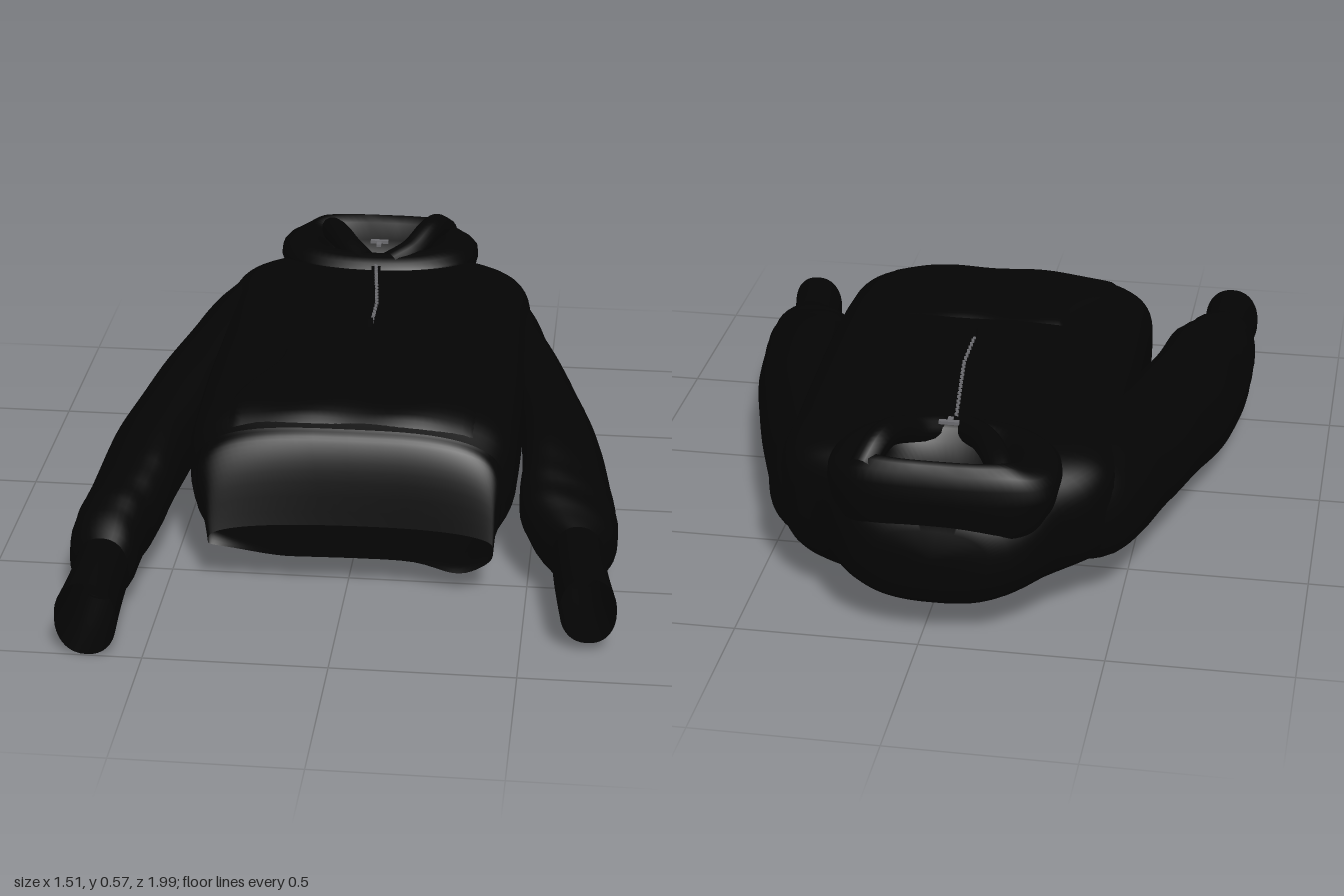
import * as THREE from 'three';

const { smoothstep } = THREE.MathUtils;
const fabric = new THREE.MeshStandardMaterial({ color: 0x040404, side: THREE.DoubleSide });
fabric.name = 'black fabric';
const metal = new THREE.MeshStandardMaterial({ color: 0x6c6c70 });
metal.name = 'zip metal';

// Surface through rows of points; closed joins the last column to the first
function skin(rows, closed = true) {
  const n = rows[0].length, idx = [];
  for (let i = 0; i < rows.length - 1; i++) {
    for (let j = 0; j < (closed ? n : n - 1); j++) {
      const a = i * n + j, b = i * n + (j + 1) % n;
      idx.push(a, b, a + n, b, b + n, a + n);
    }
  }
  const g = new THREE.BufferGeometry();
  g.setAttribute('position', new THREE.Float32BufferAttribute(rows.flat(2), 3));
  g.setIndex(idx);
  g.computeVertexNormals();
  return g;
}

// Smooth interpolation of rows [z, xMin, xMax, yBottom, yTop]
function profile(rows) {
  const f = new THREE.CubicInterpolant(rows.map(r => r[0]), rows.flatMap(r => r.slice(1)), 4);
  return z => {
    const [x0, x1, y0, y1] = f.evaluate(z);
    return { cx: (x0 + x1) / 2, rx: (x1 - x0) / 2, cy: (y0 + y1) / 2, ry: (y1 - y0) / 2 };
  };
}

const spow = (v, p) => Math.sign(v) * Math.abs(v) ** p;

// Tube of rounded cross-sections along z; power(z) sets how square they are
function loft(rows, steps, n, power, edit, cap = false) {
  const at = profile(rows), z0 = rows[0][0], z1 = rows[rows.length - 1][0], rings = [];
  for (let i = 0; i <= steps; i++) {
    const z = z0 + (z1 - z0) * i / steps, s = at(z), p = power(z);
    rings.push(Array.from({ length: n }, (_, j) => {
      const t = j / n * Math.PI * 2;
      return edit([s.cx + s.rx * spow(Math.cos(t), p), s.cy + s.ry * spow(Math.sin(t), p), z], s, t);
    }));
  }
  if (cap) {
    const s = at(z0);
    rings.unshift(rings[0].map(() => [s.cx, s.cy, z0]));
  }
  return skin(rings);
}

const BODY = [
  [-1.00, -0.19, 0.12, 0.17, 0.34], [-0.975, -0.25, 0.18, 0.12, 0.39], [-0.93, -0.31, 0.23, 0.095, 0.425],
  [-0.83, -0.385, 0.30, 0.085, 0.455], [-0.77, -0.445, 0.39, 0.085, 0.465], [-0.70, -0.485, 0.43, 0.085, 0.472],
  [-0.50, -0.485, 0.44, 0.085, 0.484], [-0.20, -0.47, 0.45, 0.085, 0.49],
  [0.00, -0.47, 0.455, 0.09, 0.49], [0.25, -0.465, 0.455, 0.085, 0.49],
  [0.40, -0.46, 0.45, 0.085, 0.485], [0.48, -0.44, 0.43, 0.09, 0.455],
];
const HEM = [
  [0.47, -0.43, 0.42, 0.092, 0.455], [0.51, -0.425, 0.42, 0.095, 0.42],
  [0.54, -0.40, 0.41, 0.095, 0.34], [0.565, -0.385, 0.405, 0.095, 0.195],
];
const SLEEVES = {
  right: {
    arm: [
      [-0.80, -0.40, -0.27, 0.18, 0.40], [-0.70, -0.51, -0.30, 0.15, 0.43], [-0.62, -0.555, -0.32, 0.15, 0.43],
      [-0.40, -0.615, -0.36, 0.15, 0.42], [-0.10, -0.685, -0.43, 0.115, 0.39],
      [0.20, -0.737, -0.48, 0.06, 0.36], [0.50, -0.755, -0.515, 0.05, 0.31],
      [0.66, -0.755, -0.55, 0.045, 0.28], [0.74, -0.74, -0.56, 0.04, 0.25],
      [0.77, -0.72, -0.575, 0.045, 0.235],
    ],
    cuff: [[0.75, -0.72, -0.575, 0.04, 0.235], [0.88, -0.725, -0.575, 0.015, 0.225], [0.99, -0.737, -0.57, 0, 0.215]],
  },
  left: {
    arm: [
      [-0.80, 0.17, 0.32, 0.17, 0.40], [-0.70, 0.22, 0.44, 0.145, 0.42],
      [-0.50, 0.28, 0.52, 0.14, 0.40], [-0.25, 0.36, 0.60, 0.135, 0.38],
      [0.00, 0.44, 0.67, 0.11, 0.36], [0.25, 0.465, 0.72, 0.09, 0.335],
      [0.45, 0.475, 0.742, 0.07, 0.295], [0.54, 0.52, 0.74, 0.06, 0.27],
      [0.60, 0.57, 0.71, 0.06, 0.25],
    ],
    cuff: [[0.58, 0.565, 0.71, 0.055, 0.25], [0.71, 0.58, 0.725, 0.04, 0.24], [0.845, 0.60, 0.752, 0.03, 0.225]],
  },
};

// Torso is square in the middle and rounder at the shoulders and hem
const bodyPower = z => 0.5 + 0.3 * smoothstep(-z, 0.7, 0.97) + 0.12 * smoothstep(z, 0.2, 0.48);
const bodyAt = profile(BODY);
function bodyTop(x, z) {
  const s = bodyAt(z), p = bodyPower(z), u = Math.min(1, Math.abs((x - s.cx) / s.rx));
  return s.cy + s.ry * (1 - u ** (2 / p)) ** (p / 2);
}

// Underside sags on the left and lifts on the right
function drape(p, s) {
  const low = Math.max(0, (s.cy - p[1]) / s.ry);
  p[1] += low * (0.03 * smoothstep(-p[0], 0.15, 0.4) - 0.042 * smoothstep(p[2], -0.9, -0.3) * Math.exp(-(((p[0] - 0.32) / 0.09) ** 2)));
  return p;
}

// Hood outline: wide flat back, tapering to a soft point at the front
function hoodPoint(t, scale) {
  const s = Math.sin(t), c = Math.cos(t);
  return [-0.05 + 0.31 * scale * spow(c, s > 0 ? 0.65 : 0.9), -0.85 - scale * (s > 0 ? 0.15 * spow(s, 0.65) : 0.24 * spow(s, 0.9))];
}

export function createModel() {
  const model = new THREE.Group();
  const add = (name, geometry, material = fabric, parent = model) => {
    const m = new THREE.Mesh(geometry, material);
    m.name = name;
    parent.add(m);
    return m;
  };

  // Torso, sunk beneath the hood to leave the neck hollow
  add('torso', loft(BODY, 70, 72, bodyPower, (p, s) => {
    const dz = (p[2] + 0.85) / (p[2] < -0.85 ? 0.15 : 0.24);
    if (p[1] > s.cy && Math.hypot((p[0] + 0.05) / 0.31, dz) < 0.74) p[1] = Math.min(p[1], 0.32);
    return drape(p, s);
  }, true));

  // Waistband, longer at the corners than in the middle
  add('waistband', loft(HEM, 14, 72, () => 0.6, (p, s) => {
    const k = (p[2] - 0.47) / 0.095, u = (p[0] - s.cx) / s.rx;
    p[2] += k * (0.025 * u * u - 0.012 - 0.01 * u);
    return drape(p, s);
  }));

  // Sleeves droop outward, with soft folds that gather near the cuff
  for (const [side, { arm, cuff }] of Object.entries(SLEEVES)) {
    const out = side === 'left' ? 1 : -1, end = arm[arm.length - 1][0];
    add(side + 'Sleeve', loft(arm, 70, 36, () => 0.9, (p, s, t) => {
      const near = Math.exp(-(((p[2] - end + 0.14) / 0.12) ** 2));
      const k = 1 + 0.01 * Math.sin(p[2] * 17 + t * 2) + 0.012 * near * Math.sin(p[2] * 60 + t * 2);
      p[0] = s.cx + (p[0] - s.cx) * k;
      p[1] = s.cy + (p[1] - s.cy) * k - 0.4 * out * (p[0] - s.cx) * Math.min(1, (end - p[2]) * 3);
      return p;
    }, true));
    add(side + 'Cuff', loft(cuff, 8, 36, () => 0.9, p => p));
  }

  // Hood: rings of [scale, height at front, height at back], over the rolled rim and into the neck
  const hoodRings = [
    [0.90, 0.44, 0.32], [0.97, 0.455, 0.36], [1, 0.465, 0.42], [0.99, 0.478, 0.465],
    [0.93, 0.495, 0.50], [0.84, 0.505, 0.52], [0.72, 0.51, 0.525], [0.62, 0.495, 0.505],
    [0.56, 0.46, 0.45], [0.45, 0.42, 0.38], [0, 0.40, 0.36],
  ];
  add('hood', skin(hoodRings.map(([scale, front, back], i) =>
    Array.from({ length: 64 }, (_, j) => {
      const t = j / 64 * Math.PI * 2, [x, z] = hoodPoint(t, scale);
      const w = smoothstep(Math.sin(t), -1, 0.9), rim = [0, 0, 0, 0.2, 0.6, 1, 1, 1, 0.5, 0, 0][i];
      return [x, front + (back - front) * w - 0.03 * rim * w * smoothstep(Math.abs(x + 0.05), 0.18, 0.28), z];
    }))));

  // Bunched folds along both sides of the hood opening, meeting at the collar
  const folds = {
    left: [[0.15, 0.485, -0.95], [0.125, 0.527, -0.88], [0.105, 0.53, -0.82], [0.06, 0.50, -0.73], [0.0, 0.48, -0.67]],
    right: [[-0.22, 0.475, -0.95], [-0.20, 0.495, -0.89], [-0.17, 0.502, -0.82], [-0.13, 0.495, -0.74], [-0.08, 0.48, -0.67]],
  };
  for (const [side, points] of Object.entries(folds)) {
    const path = new THREE.CatmullRomCurve3(points.map(p => new THREE.Vector3(...p)));
    add(side + 'HoodFold', new THREE.TubeGeometry(path, 24, 0.038, 14));
  }

  // Front pocket: raised panel with slanted hand openings
  const pocket = [];
  for (let i = 0; i <= 20; i++) {
    const z = 0.02 + 0.45 * i / 20, half = 0.24 + 0.11 * smoothstep(z, 0.06, 0.36);
    pocket.push(Array.from({ length: 33 }, (_, j) => {
      const x = half * (1 - j / 16), edge = i === 0 || i === 20 || j === 0 || j === 32;
      return [x, bodyTop(x, z) + (edge ? -0.003 : 0.005 + 0.003 * Math.sin(x * 22 + z * 9)), z];
    }));
  }
  add('pocket', skin(pocket, false));

  // Half-length zip with tape, teeth, slider and pull
  const zip = new THREE.Group();
  zip.name = 'zip';
  model.add(zip);
  const zipX = z => -0.005 - 0.035 * Math.min(1, Math.max(0, (-0.3 - z) / 0.32));
  const tooth = new THREE.BoxGeometry(0.007, 0.006, 0.007);
  for (let i = 0; i < 42; i++) {
    const z = -0.62 + i * 0.012, x = zipX(z);
    add('zipTooth', tooth, metal, zip).position.set(x + (i % 2 ? 0.0015 : -0.0015), bodyTop(x, z) + 0.014, z);
  }
  const tape = [];
  for (let i = 0; i <= 20; i++) {
    const z = -0.63 + 0.51 * i / 20, x = zipX(z), y = bodyTop(x, z) + 0.011;
    tape.push([[x + 0.014, y, z], [x - 0.014, y, z]]);
  }
  add('zipTape', skin(tape, false), fabric, zip);
  add('zipStop', new THREE.BoxGeometry(0.012, 0.025, 0.014), fabric, zip).position.set(-0.005, 0.515, -0.125);
  add('zipSlider', new THREE.BoxGeometry(0.055, 0.009, 0.014), metal, zip).position.set(-0.04, 0.527, -0.73);
  add('zipPull', new THREE.BoxGeometry(0.014, 0.008, 0.028), metal, zip).position.set(-0.04, 0.525, -0.712);

  // Settle on the ground, centred
  const box = new THREE.Box3().setFromObject(model), c = box.getCenter(new THREE.Vector3());
  for (const part of model.children) part.position.add(new THREE.Vector3(-c.x, -box.min.y, -c.z));
  return model;
}
